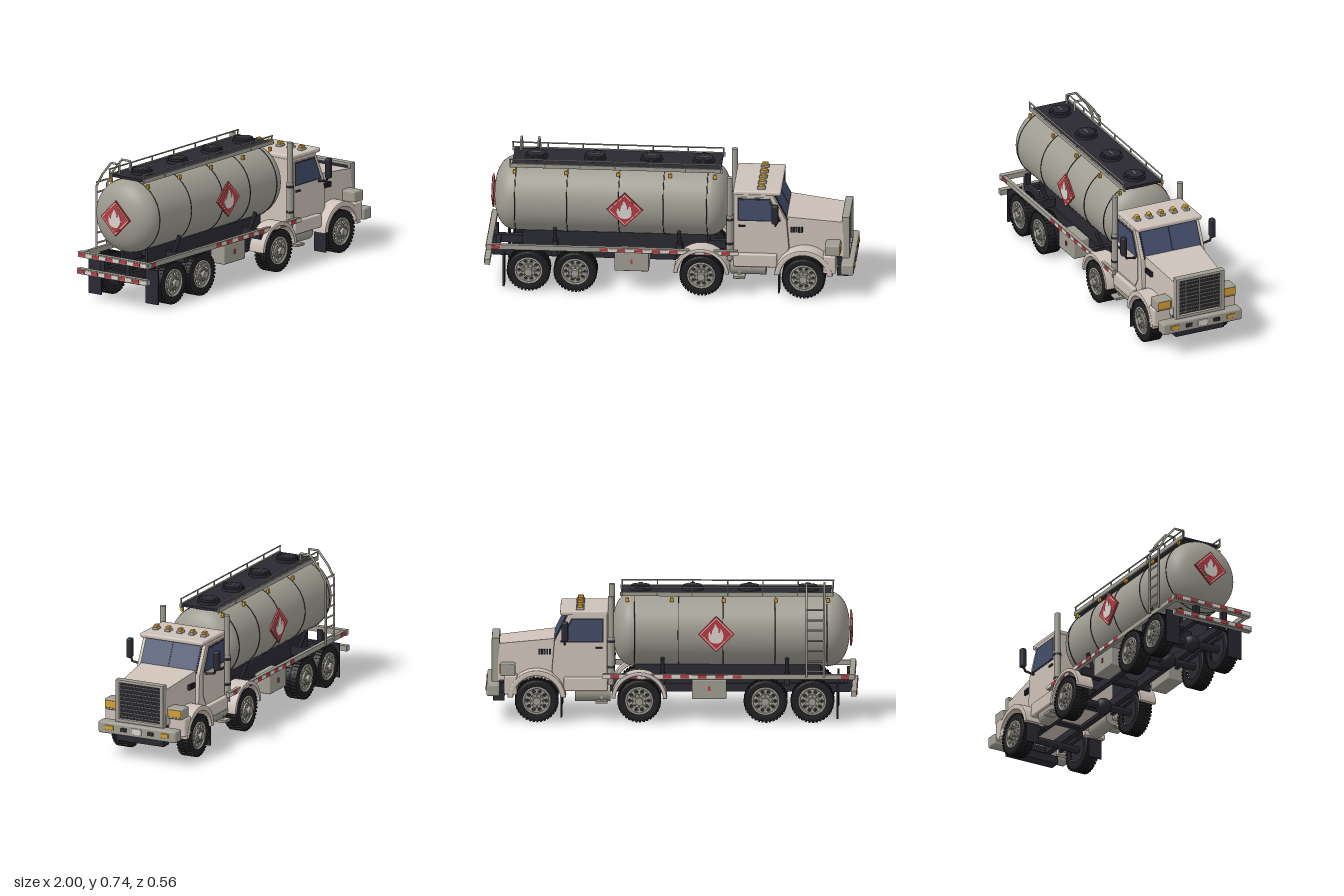
import * as THREE from 'three';
import { RoundedBoxGeometry } from 'three/addons/geometries/RoundedBoxGeometry.js';
import { mergeGeometries } from 'three/addons/utils/BufferGeometryUtils.js';

const paint = (color) => new THREE.MeshStandardMaterial({ color });
const M = {
  cab: paint(0xcdc1b8), steel: paint(0x9f9c92), dark: paint(0x2a2932), tire: paint(0x1f1f22),
  glass: paint(0x434d6b), amber: paint(0xd6a032), red: paint(0xb83a42), white: paint(0xd8d2cc),
};
const SIDES = [1, -1];
const V = (x, y, z) => new THREE.Vector3(x, y, z);

export function createModel() {
  const root = new THREE.Group();
  root.name = 'tankerTruck';
  const add = (name, geo, mat, parent = root) => {
    const mesh = new THREE.Mesh(geo, mat);
    mesh.name = name;
    parent.add(mesh);
    return mesh;
  };
  // box given by its limits, rounded when r > 0
  const box = (name, mat, [x0, x1], [y0, y1], [z0, z1], r = 0, parent = root) => {
    const s = [Math.abs(x1 - x0), Math.abs(y1 - y0), Math.abs(z1 - z0)];
    const m = add(name, r ? new RoundedBoxGeometry(...s, 2, r) : new THREE.BoxGeometry(...s), mat, parent);
    m.position.set((x0 + x1) / 2, (y0 + y1) / 2, (z0 + z1) / 2);
    return m;
  };
  // the same box on both sides of the truck
  const pair = (name, mat, xs, ys, [z0, z1], r = 0) =>
    SIDES.forEach((s) => box(name, mat, xs, ys, [s * z0, s * z1], r));
  const rod = (name, mat, a, b, r, parent = root, sides = 10) => {
    const d = b.clone().sub(a);
    const m = add(name, new THREE.CylinderGeometry(r, r, d.length(), sides), mat, parent);
    m.position.copy(a).addScaledVector(d, 0.5);
    m.quaternion.setFromUnitVectors(V(0, 1, 0), d.normalize());
    return m;
  };
  const path = (name, mat, pts, r) => pts.slice(1).forEach((p, i) => {
    rod(name, mat, pts[i], p, r);
    add(name, new THREE.SphereGeometry(r, 8, 6), mat).position.copy(p);
  });
  const poly = (pts) => new THREE.Shape(pts.map((p) => new THREE.Vector2(...p)));
  const prism = (name, mat, shape, z0, z1, bevel = 0, parent = root) => {
    const g = new THREE.ExtrudeGeometry(shape, { depth: z1 - z0 - 2 * bevel, curveSegments: 24,
      bevelEnabled: bevel > 0, bevelSize: bevel, bevelThickness: bevel, bevelOffset: -bevel, bevelSegments: 2 });
    g.translate(0, 0, z0 + bevel);
    return add(name, g, mat, parent);
  };

  // tank shell with domed ends, seam bands and marker lamps
  const profile = [];
  for (let i = 0; i <= 28; i++) {
    const t = (i % 14.5) / 14 * Math.PI / 2, u = i <= 14 ? i / 14 * Math.PI / 2 : (28 - i) / 14 * Math.PI / 2;
    const r = 0.202 * Math.sin(u) ** 0.85, e = 0.125 * Math.max(0, Math.cos(u)) ** 0.85;
    if (t >= 0) profile.push(new THREE.Vector2(r, i <= 14 ? -0.83 - e : 0.195 + e));
  }
  const tank = add('tank', new THREE.LatheGeometry(profile, 56), M.steel);
  tank.rotation.z = -Math.PI / 2;
  tank.position.y = 0.472;
  for (const x of [-0.835, -0.555, -0.275, -0.035, 0.2]) {
    const band = add('tankSeam', new THREE.TorusGeometry(0.202, 0.0025, 6, 56), M.dark);
    band.rotation.y = Math.PI / 2;
    band.position.set(x, 0.472, 0);
  }
  for (const x of [-0.84, -0.56, -0.28, 0, 0.24]) pair('tankLamp', M.amber, [x - 0.009, x + 0.009], [0.638, 0.66], [0.118, 0.131]);

  // walkway, hatches and rails on top of the tank
  box('walkway', M.dark, [-0.855, 0.27], [0.672, 0.685], [-0.112, 0.112]);
  pair('walkwayCurb', M.steel, [-0.865, 0.28], [0.668, 0.69], [0.108, 0.118]);
  for (const x of [-0.73, -0.415, -0.11, 0.17]) {
    rod('hatchBase', M.dark, V(x, 0.68, 0), V(x, 0.7, 0), 0.06, root, 24);
    rod('hatchLid', M.dark, V(x, 0.7, 0), V(x, 0.711, 0), 0.05, root, 24);
    for (const s of SIDES) box('hatchLatch', M.dark, [x - 0.012, x + 0.012], [0.695, 0.715], [s * 0.04, s * 0.058], 0.004);
    rod('hatchHandle', M.steel, V(x - 0.025, 0.714, 0), V(x + 0.025, 0.714, 0), 0.004);
  }
  for (const s of SIDES) {
    rod('topRail', M.steel, V(-0.87, 0.715, s * 0.115), V(0.275, 0.715, s * 0.115), 0.004);
    for (let i = 0; i < 7; i++) {
      const x = -0.865 + i * 0.189;
      rod('railPost', M.steel, V(x, 0.67, s * 0.115), V(x, 0.715, s * 0.115), 0.004);
    }
  }

  // ladder
  for (const x of [-0.82, -0.725]) path('ladderRail', M.steel,
    [V(x, 0.25, -0.238), V(x, 0.595, -0.238), V(x, 0.665, -0.2), V(x, 0.737, -0.14), V(x, 0.737, -0.085), V(x, 0.68, -0.085)], 0.006);
  for (let y = 0.28; y < 0.63; y += 0.056) rod('ladderRung', M.steel, V(-0.82, y, -0.238), V(-0.725, y, -0.238), 0.005);

  // diamond warning plates with a flame
  const flame = new THREE.Shape();
  flame.moveTo(0, -0.05);
  flame.bezierCurveTo(-0.04, -0.05, -0.052, -0.015, -0.036, 0.02);
  flame.quadraticCurveTo(-0.034, 0, -0.024, -0.004);
  flame.bezierCurveTo(-0.028, 0.025, -0.008, 0.03, -0.008, 0.056);
  flame.bezierCurveTo(0.012, 0.042, 0.014, 0.02, 0.012, 0.006);
  flame.quadraticCurveTo(0.024, 0.012, 0.024, 0.03);
  flame.bezierCurveTo(0.048, 0, 0.044, -0.05, 0, -0.05);
  const diamond = (r) => poly([[r, 0], [0, r], [-r, 0], [0, -r]]);
  for (const [x, z, turn] of [[-0.24, 0.203, 0], [-0.24, -0.203, Math.PI], [-0.957, 0, -Math.PI / 2]]) {
    const plate = new THREE.Group();
    plate.name = 'warningPlate';
    plate.position.set(x, 0.478, z);
    plate.rotation.y = turn;
    root.add(plate);
    prism('plateBack', M.red, diamond(0.098), 0, 0.009, 0, plate);
    prism('plateBorder', M.white, diamond(0.088), 0.009, 0.0105, 0, plate);
    prism('plateFace', M.red, diamond(0.083), 0.0105, 0.012, 0, plate);
    prism('flame', M.white, flame, 0.012, 0.0145, 0, plate);
  }

  // chassis rails, cross members and tank cradles
  pair('chassisRail', M.dark, [-0.96, 0.94], [0.145, 0.19], [0.07, 0.1]);
  for (const x of [-0.94, -0.63, -0.33, -0.05, 0.3, 0.55, 0.92]) box('crossMember', M.dark, [x - 0.015, x + 0.015], [0.15, 0.185], [-0.09, 0.09]);
  pair('tankBearer', M.dark, [-0.8, 0.2], [0.19, 0.3], [0.075, 0.09]);
  for (const x of [-0.62, 0.05]) {
    box('cradleBeam', M.dark, [x - 0.015, x + 0.015], [0.2, 0.25], [-0.215, 0.215]);
    for (const s of SIDES) rod('cradleArm', M.dark, V(x, 0.24, s * 0.13), V(x, 0.34, s * 0.17), 0.011);
  }
  // side frame with reflective tape, and rear bars
  pair('sideFrame', M.steel, [-0.985, 0.37], [0.235, 0.262], [0.212, 0.232]);
  for (let i = 0; i < 16; i++) {
    const x = -0.375 + i * 0.047;
    pair('sideTape', i % 2 ? M.white : M.red, [x, x + 0.045], [0.24, 0.258], [0.23, 0.2345]);
  }
  pair('sideTape', M.red, [-0.96, -0.91], [0.24, 0.258], [0.23, 0.2345]);
  for (const [y, x] of [[0.235, -0.975], [0.145, -0.985]]) {
    box('rearBar', M.steel, [x - 0.01, x + 0.02], [y, y + 0.03], [-0.238, 0.238]);
    for (let i = 0; i < 10; i++) box('rearTape', i % 2 ? M.white : M.red, [x - 0.013, x], [y + 0.006, y + 0.024], [-0.23 + i * 0.046, -0.186 + i * 0.046]);
  }
  pair('rearBarBracket', M.dark, [-0.97, -0.94], [0.15, 0.25], [0.07, 0.1]);
  pair('mudFlap', M.dark, [-0.896, -0.886], [0.02, 0.21], [0.15, 0.235]);
  pair('mudFlap', M.dark, [0.588, 0.596], [0.025, 0.16], [0.155, 0.235]);
  // tool boxes and fuel tanks
  pair('toolBox', M.steel, [-0.295, -0.11], [0.125, 0.232], [0.13, 0.225], 0.006);
  pair('toolBoxLatch', M.red, [-0.208, -0.196], [0.17, 0.195], [0.22, 0.229]);
  for (const s of SIDES) {
    rod('fuelTank', M.steel, V(0.33, 0.15, s * 0.155), V(0.52, 0.15, s * 0.155), 0.047, root, 24);
    rod('exhaustStack', M.steel, V(0.325, 0.2, s * 0.195), V(0.325, 0.68, s * 0.195), 0.016, root, 20);
    rod('exhaustMuffler', M.steel, V(0.325, 0.24, s * 0.195), V(0.325, 0.46, s * 0.195), 0.019, root, 20);
    for (const y of [0.29, 0.43]) rod('exhaustClamp', M.dark, V(0.325, y, s * 0.195), V(0.325, y + 0.012, s * 0.195), 0.021, root, 20);
  }

  // wheels: tyre, tread blocks, slotted rim, hub and nuts, built facing +z
  const tireProfile = [[0.07, -0.036], [0.1, -0.041], [0.11, -0.036], [0.113, -0.03], [0.113, 0.03], [0.11, 0.036], [0.1, 0.041], [0.07, 0.036]];
  const tireGeo = new THREE.LatheGeometry(tireProfile.map((p) => new THREE.Vector2(...p)), 40).rotateX(Math.PI / 2);
  const blocks = [];
  for (let i = 0; i < 36; i++) for (const s of SIDES) {
    blocks.push(new THREE.BoxGeometry(0.012, 0.009, 0.036).translate(0, 0.113, s * 0.0205).rotateZ((i + s * 0.2) * Math.PI / 18));
  }
  const treadGeo = mergeGeometries(blocks);
  const rim = new THREE.Shape().absarc(0, 0, 0.068, 0, Math.PI * 2);
  for (let i = 0; i < 10; i++) {
    const a = i * Math.PI / 5;
    rim.holes.push(new THREE.Path().absarc(0.051 * Math.cos(a), 0.051 * Math.sin(a), 0.009, 0, Math.PI * 2, true));
  }
  for (const x of [-0.757, -0.505, 0.174, 0.725]) {
    rod('axle', M.dark, V(x, 0.117, -0.18), V(x, 0.117, 0.18), 0.02, root, 16);
    if (x < 0.7) add('differential', new THREE.SphereGeometry(0.045, 20, 14), M.dark).position.set(x, 0.117, 0);
    pair('leafSpring', M.dark, [x - 0.1, x + 0.1], [0.13, 0.15], [0.105, 0.125]);
    for (const s of SIDES) {
      const wheel = new THREE.Group();
      wheel.name = 'wheel';
      wheel.position.set(x, 0.117, s * 0.198);
      wheel.rotation.y = s > 0 ? 0 : Math.PI;
      root.add(wheel);
      add('tyre', tireGeo, M.tire, wheel);
      add('tread', treadGeo, M.tire, wheel);
      rod('rimBack', M.dark, V(0, 0, -0.03), V(0, 0, 0.02), 0.071, wheel, 32);
      prism('rim', M.steel, rim, 0.02, 0.032, 0, wheel);
      add('rimLip', new THREE.TorusGeometry(0.071, 0.006, 8, 36), M.steel, wheel).position.z = 0.036;
      rod('hub', M.steel, V(0, 0, 0.03), V(0, 0, 0.064), 0.021, wheel, 20);
      rod('hubFlange', M.steel, V(0, 0, 0.03), V(0, 0, 0.042), 0.038, wheel, 24);
      for (let i = 0; i < 8; i++) {
        const a = i * Math.PI / 4, cx = 0.031 * Math.cos(a), cy = 0.031 * Math.sin(a);
        rod('wheelNut', M.steel, V(cx, cy, 0.04), V(cx, cy, 0.053), 0.0045, wheel, 6);
      }
    }
  }
  // mudguard arches
  const arch = (x, ro, ri, low) => {
    const a = Math.asin(low / ro), b = Math.asin(low / ri);
    return new THREE.Shape().absarc(x, 0.125, ro, a, Math.PI - a, false).absarc(x, 0.125, ri, Math.PI - b, b, true);
  };
  for (const s of SIDES) {
    const z = (a, b) => (s > 0 ? [a, b] : [-b, -a]);
    prism('frontFender', M.cab, arch(0.725, 0.158, 0.127, 0.01), ...z(0.12, 0.248), 0.008);
    prism('driveFender', M.cab, arch(0.174, 0.15, 0.128, 0.005), ...z(0.145, 0.245), 0.006);
  }

  // cab body, doors, windows
  const cabSide = poly([[0.345, 0.165], [0.345, 0.585], [0.555, 0.585], [0.632, 0.43], [0.645, 0.27], [0.6, 0.165]]);
  prism('cab', M.cab, cabSide, -0.192, 0.192, 0.008);
  box('roof', M.cab, [0.342, 0.6], [0.574, 0.6], [-0.192, 0.192], 0.01);
  const door = poly([[0.36, 0.25], [0.36, 0.565], [0.54, 0.565], [0.6, 0.435], [0.6, 0.3], [0.57, 0.25]]);
  const frame = poly([[0.366, 0.428], [0.366, 0.56], [0.54, 0.56], [0.6, 0.428]]);
  const pane = poly([[0.374, 0.436], [0.374, 0.552], [0.535, 0.552], [0.588, 0.436]]);
  for (const s of SIDES) {
    const layer = (name, mat, shape, d) => prism(name, mat, shape, s > 0 ? 0.185 : -d, s > 0 ? d : -0.185);
    layer('door', M.cab, door, 0.1955);
    layer('windowFrame', M.dark, frame, 0.197);
    layer('sideWindow', M.glass, pane, 0.1985);
  }
  pair('doorHandle', M.dark, [0.372, 0.41], [0.394, 0.404], [0.195, 0.203]);
  pair('cabSill', M.cab, [0.345, 0.58], [0.165, 0.24], [0.185, 0.215], 0.008);
  pair('cabStep', M.steel, [0.345, 0.41], [0.1, 0.115], [0.17, 0.23], 0.004);
  pair('stepHanger', M.steel, [0.37, 0.385], [0.11, 0.18], [0.185, 0.2]);
  // windscreen leaning with the cab front
  const screen = new THREE.Group();
  screen.name = 'windscreen';
  screen.position.set(0.595, 0.504, 0);
  screen.rotation.z = 0.46;
  root.add(screen);
  box('screenSeal', M.dark, [-0.01, 0.004], [-0.085, 0.078], [-0.172, 0.172], 0, screen);
  for (const s of SIDES) box('screenPane', M.glass, [-0.004, 0.006], [-0.082, 0.07], [s * 0.003, s * 0.165], 0, screen);
  for (const z of [-0.146, -0.073, 0, 0.073, 0.146]) {
    box('roofLampBase', M.steel, [0.47, 0.515], [0.598, 0.613], [z - 0.016, z + 0.016], 0.005);
    box('roofLamp', M.amber, [0.477, 0.508], [0.61, 0.627], [z - 0.011, z + 0.011], 0.004);
  }
  // mirrors
  pair('mirror', M.dark, [0.555, 0.592], [0.445, 0.555], [0.25, 0.281], 0.01);
  for (const s of SIDES) {
    rod('mirrorArm', M.dark, V(0.575, 0.418, s * 0.185), V(0.575, 0.428, s * 0.252), 0.006);
    rod('mirrorStay', M.dark, V(0.575, 0.428, s * 0.25), V(0.575, 0.46, s * 0.262), 0.006);
  }

  // bonnet: a box tapering towards the grille
  const hoodGeo = new THREE.BoxGeometry(1, 1, 1);
  const p = hoodGeo.attributes.position;
  for (let i = 0; i < p.count; i++) {
    const front = p.getX(i) > 0, top = p.getY(i) > 0;
    const half = (front ? 0.15 : 0.175) - (top ? 0.008 : 0);
    p.setXYZ(i, front ? 0.935 : 0.61, top ? (front ? 0.412 : 0.447) : 0.215, Math.sign(p.getZ(i)) * half);
  }
  hoodGeo.computeVertexNormals();
  add('bonnet', hoodGeo, M.cab);
  for (let i = 0; i < 5; i++) pair('bonnetVent', M.dark, [0.65 + i * 0.014, 0.66 + i * 0.014], [0.358, 0.386], [0.155, 0.175]);

  // grille
  const ring = poly([[-0.145, 0.205], [0.145, 0.205], [0.145, 0.442], [-0.145, 0.442]]);
  ring.holes.push(new THREE.Path([[-0.122, 0.224], [-0.122, 0.424], [0.122, 0.424], [0.122, 0.224]].map((q) => new THREE.Vector2(...q))));
  prism('grilleFrame', M.steel, ring, 0.925, 0.968, 0.006).rotation.y = Math.PI / 2;
  box('grilleBack', M.dark, [0.925, 0.95], [0.215, 0.43], [-0.13, 0.13]);
  for (let i = 0; i < 9; i++) rod('grilleBar', M.steel, V(0.956, 0.237 + i * 0.0215, -0.118), V(0.956, 0.237 + i * 0.0215, 0.118), 0.0035);
  for (const z of [-0.082, 0, 0.082]) rod('grillePost', M.steel, V(0.958, 0.228, z), V(0.958, 0.42, z), 0.0035);

  // headlamps, bumper and its lamps
  pair('headlampHousing', M.steel, [0.84, 0.92], [0.25, 0.312], [0.135, 0.236], 0.008);
  pair('headlamp', M.amber, [0.9, 0.926], [0.262, 0.302], [0.156, 0.23], 0.005);
  pair('fenderFront', M.cab, [0.83, 0.9], [0.15, 0.255], [0.14, 0.245], 0.01);
  box('bumper', M.steel, [0.925, 0.995], [0.14, 0.205], [-0.236, 0.236], 0.01);
  box('bumperSkirt', M.dark, [0.9, 0.96], [0.1, 0.145], [-0.145, 0.145]);
  pair('bumperLamp', M.amber, [0.985, 1], [0.163, 0.187], [0.142, 0.192], 0.003);
  pair('bumperHook', M.dark, [0.985, 0.999], [0.162, 0.184], [0.063, 0.101], 0.003);
  box('bumperPlate', M.white, [0.985, 0.999], [0.156, 0.19], [-0.028, 0.028], 0.002);
  return root;
}
